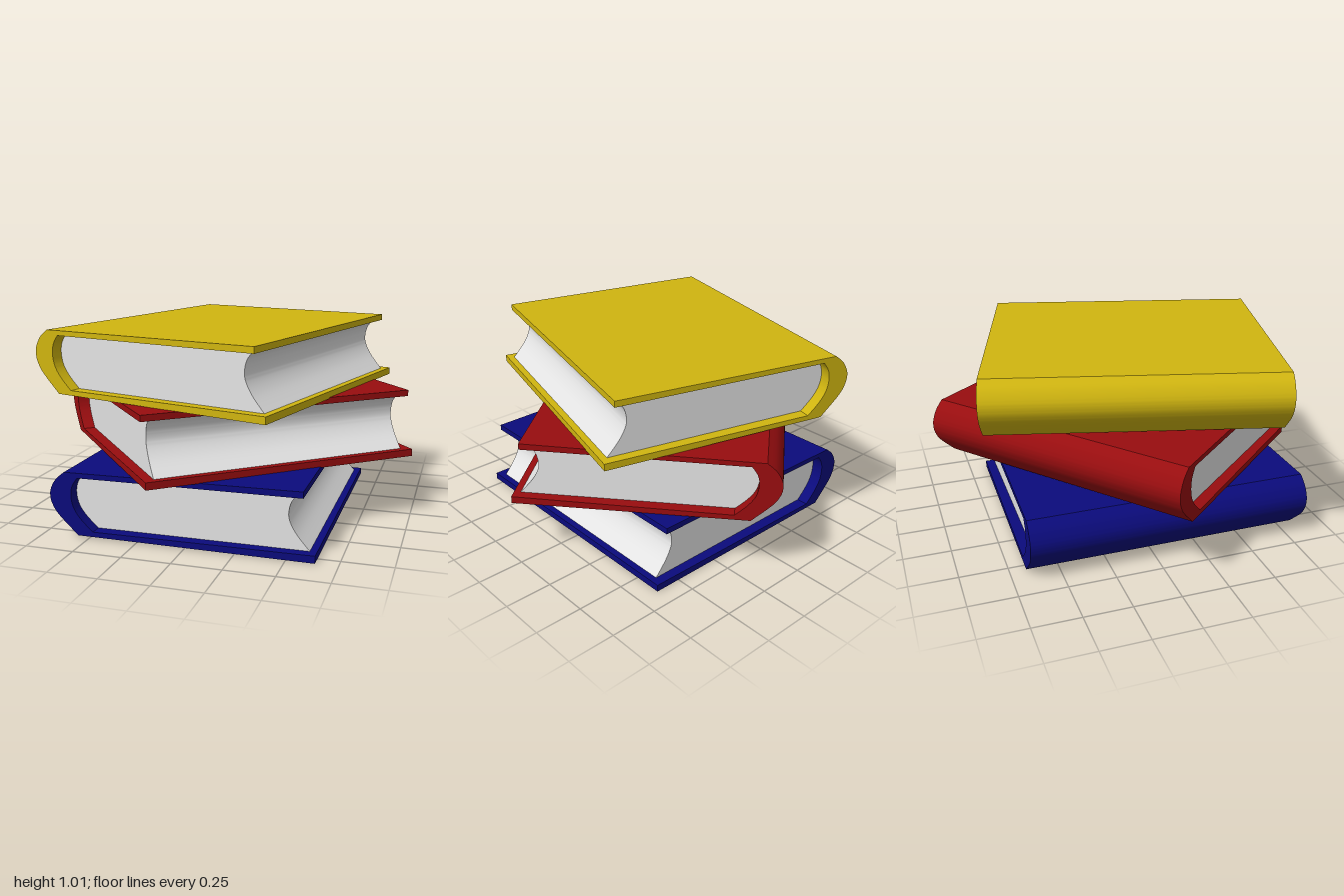
import * as THREE from 'three';
import { toCreasedNormals } from 'three/addons/utils/BufferGeometryUtils.js';

const points = (list) => list.map(([x, y]) => new THREE.Vector2(x, y));

// Curves of the book's end profile: x runs from spine to fore edge, y is up
const SPINE_OUTER = [[-0.62, 0.335], [-0.665, 0.297], [-0.693, 0.25], [-0.7, 0.21], [-0.69, 0.165], [-0.655, 0.11], [-0.555, 0.012]];
const SPINE_INNER = [[-0.475, 0.037], [-0.535, 0.095], [-0.573, 0.15], [-0.587, 0.21], [-0.579, 0.265], [-0.55, 0.31]];
const FORE_EDGE = [[0.605, 0.037], [0.54, 0.115], [0.506, 0.18], [0.503, 0.23], [0.517, 0.275], [0.545, 0.31]];

// Extrude a profile along z, centred, narrowing slightly toward the fore edge
function extrudeProfile(shape, halfSpine, halfFore) {
  const geo = new THREE.ExtrudeGeometry(shape, { depth: 2, bevelEnabled: false, curveSegments: 5 });
  geo.translate(0, 0, -1);
  const pos = geo.attributes.position;
  for (let i = 0; i < pos.count; i++) {
    const t = (pos.getX(i) + 0.7) / 1.34;
    pos.setZ(i, pos.getZ(i) * THREE.MathUtils.lerp(halfSpine, halfFore, t));
  }
  return toCreasedNormals(geo, 0.5);
}

// Cover boards and rounded spine in one C-shaped profile
function coverGeometry() {
  const s = new THREE.Shape();
  s.moveTo(0.58, 0.342);
  s.lineTo(...SPINE_OUTER[0]);
  s.splineThru(points(SPINE_OUTER.slice(1)));
  s.lineTo(0.64, 0);
  s.lineTo(0.64, 0.037);
  s.lineTo(...SPINE_INNER[0]);
  s.splineThru(points(SPINE_INNER.slice(1)));
  s.lineTo(0.58, 0.31);
  s.closePath();
  return extrudeProfile(s, 0.75, 0.73);
}

// Page block with a hollow fore edge
function pagesGeometry() {
  const s = new THREE.Shape();
  s.moveTo(...SPINE_INNER[0]);
  s.lineTo(...FORE_EDGE[0]);
  s.splineThru(points(FORE_EDGE.slice(1)));
  s.lineTo(...SPINE_INNER[5]);
  s.splineThru(points(SPINE_INNER.slice(0, 5).reverse()));
  s.closePath();
  return extrudeProfile(s, 0.685, 0.68);
}

export function createModel() {
  const material = (name, color) => {
    const m = new THREE.MeshStandardMaterial({ color });
    m.name = name;
    return m;
  };
  const paper = material('paper', 0xe4e4e4);
  const covers = coverGeometry();
  const pages = pagesGeometry();

  // Three equal books, each turned differently
  const books = [
    { name: 'bottomBook', mat: material('blue cover', 0x0b0b7c), at: [0, 0, 0.08], turn: 0 },
    { name: 'middleBook', mat: material('red cover', 0x980d0f), at: [0.027, 0.337, 0.025], turn: -50 },
    { name: 'topBook', mat: material('yellow cover', 0xd0b510), at: [0.001, 0.673, 0.06], turn: -15 },
  ];

  const stack = new THREE.Group();
  stack.name = 'bookStack';
  for (const { name, mat, at, turn } of books) {
    const book = new THREE.Group();
    book.name = name;
    const cover = new THREE.Mesh(covers, mat);
    cover.name = 'cover';
    const block = new THREE.Mesh(pages, paper);
    block.name = 'pages';
    book.add(cover, block);
    book.position.set(...at);
    book.rotation.y = THREE.MathUtils.degToRad(turn);
    stack.add(book);
  }
  return stack;
}
